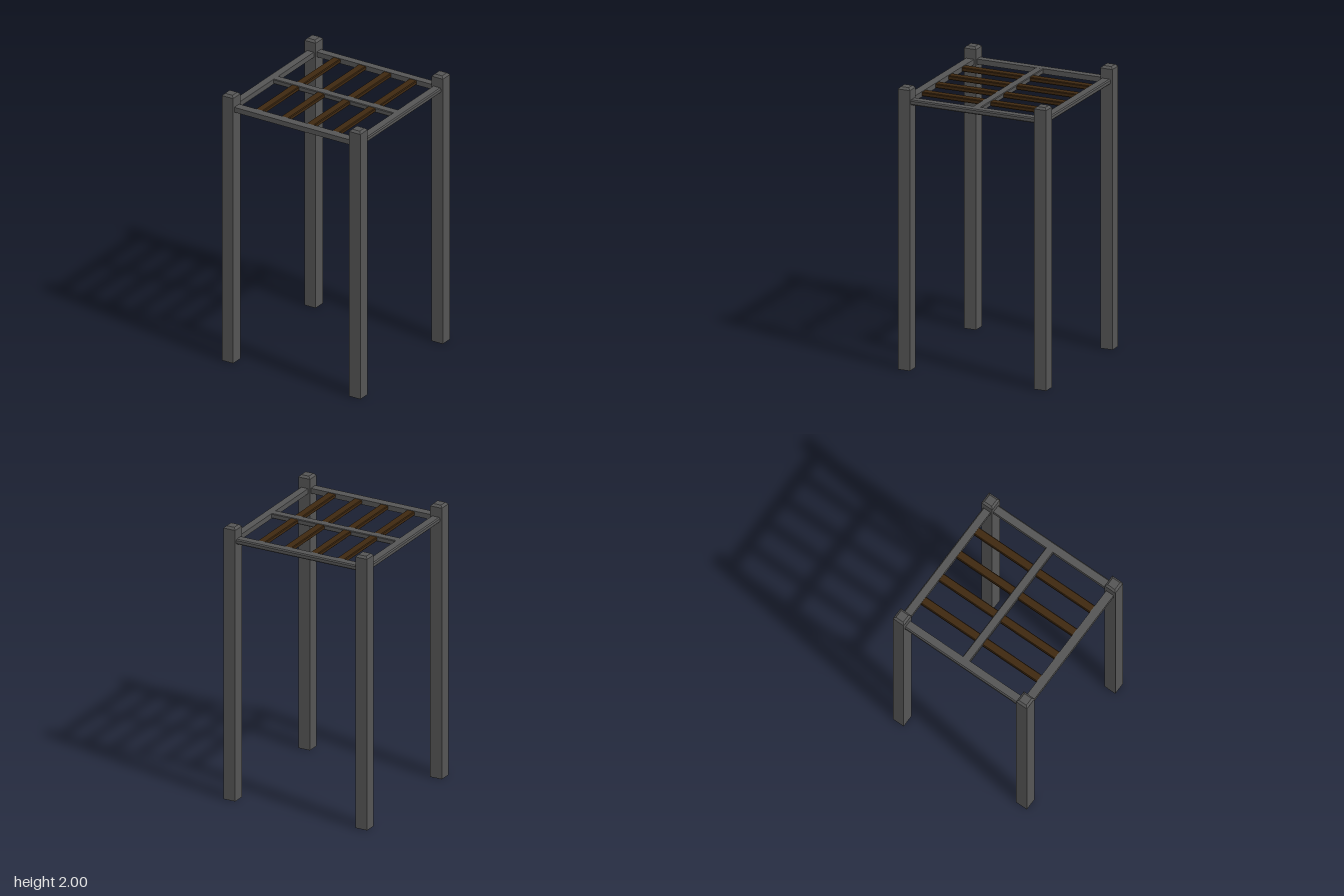
import * as THREE from 'three';

const steel = new THREE.MeshStandardMaterial({ color: 0x555555, flatShading: true });
const wood = new THREE.MeshStandardMaterial({ color: 0x3e2810, flatShading: true });

const POST = 0.09, CORNER = 0.512, RAIL_Y = 1.896;

// Bar along z, centred; edges on its +x side cut by outer, on its -x side by inner
function bar(name, material, length, width, height, outer, inner) {
  const w = width / 2, h = height / 2, shape = new THREE.Shape();
  shape.moveTo(w - outer, -h);
  if (outer) shape.lineTo(w, -h + outer).lineTo(w, h - outer);
  shape.lineTo(w - outer, h).lineTo(-w + inner, h);
  if (inner) shape.lineTo(-w, h - inner).lineTo(-w, -h + inner);
  shape.lineTo(-w + inner, -h);
  const geometry = new THREE.ExtrudeGeometry(shape, { depth: length, bevelEnabled: false });
  geometry.translate(0, 0, -length / 2);
  const mesh = new THREE.Mesh(geometry, material);
  mesh.name = name;
  return mesh;
}

// Square post: straight shaft with a chamfered top
function postGeometry() {
  const chamfer = 0.015, r = POST / Math.SQRT2;
  const profile = [[0, 0], [r, 0], [r, 2 - chamfer], [r - chamfer * Math.SQRT2, 2], [0, 2]];
  const geometry = new THREE.LatheGeometry(profile.map(p => new THREE.Vector2(...p)), 4);
  return geometry.rotateY(Math.PI / 4);
}

export function createModel() {
  const group = new THREE.Group();
  const add = (mesh, x, y, z, turn = 0) => {
    mesh.position.set(x, y, z);
    mesh.rotation.y = turn;
    group.add(mesh);
  };

  // Four corner posts
  const post = postGeometry();
  for (const x of [-1, 1]) for (const z of [-1, 1]) {
    const mesh = new THREE.Mesh(post, steel);
    mesh.name = 'cornerPost';
    add(mesh, x * CORNER, 0, z * CORNER);
  }

  // Top frame, joining the posts
  const span = 2 * CORNER - POST + 0.02;
  add(bar('leftRail', steel, span, 0.061, 0.037, 0.008, 0), CORNER, RAIL_Y, 0);
  add(bar('rightRail', steel, span, 0.061, 0.037, 0.008, 0), -CORNER, RAIL_Y, 0, Math.PI);
  add(bar('backRail', steel, span, 0.061, 0.037, 0.008, 0), 0, RAIL_Y, -CORNER, Math.PI / 2);
  add(bar('frontRail', steel, span, 0.061, 0.037, 0, 0), 0, RAIL_Y, CORNER, Math.PI / 2);

  // Middle cross rail
  add(bar('middleRail', steel, 0.964, 0.061, 0.036, 0.005, 0.005), 0, RAIL_Y, 0, Math.PI / 2);

  // Wooden slats running front to back
  for (const x of [-0.307, -0.102, 0.102, 0.307])
    add(bar('slat', wood, 0.964, 0.06, 0.03, 0.005, 0.005), x, RAIL_Y, 0);

  return group;
}
